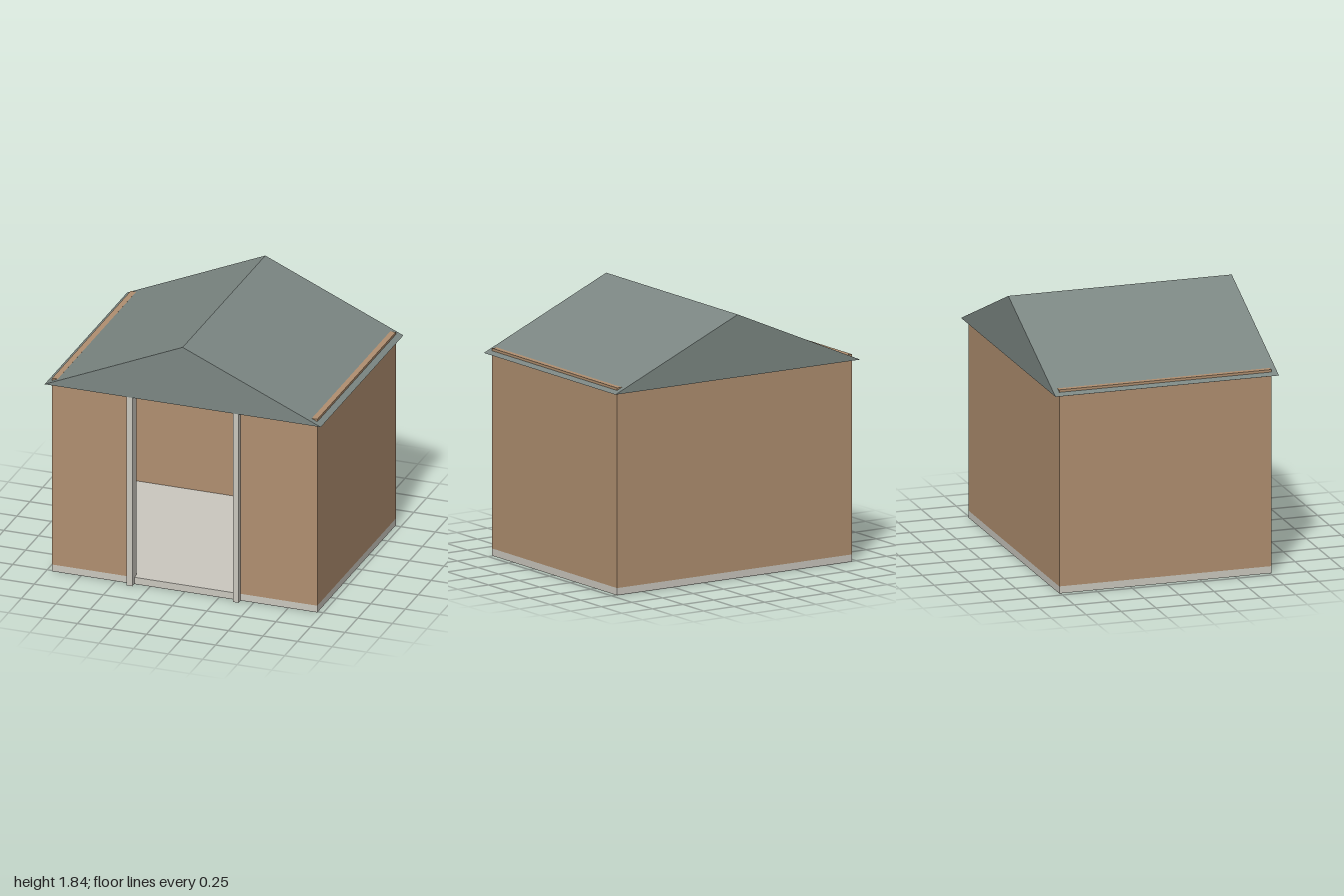
import * as THREE from 'three';

const makeMaterial = (name, color) => {
  const m = new THREE.MeshStandardMaterial({ color });
  m.name = name;
  return m;
};

export function createModel() {
  const wood = makeMaterial('tan wall', 0xb08f70);
  const stone = makeMaterial('pale grey trim', 0xcbc8bf);
  const slate = makeMaterial('grey green roof', 0x7c8783);

  const shed = new THREE.Group();
  shed.name = 'shed';

  // Box given by its lower and upper corners
  const box = (name, material, [x0, y0, z0], [x1, y1, z1]) => {
    const mesh = new THREE.Mesh(new THREE.BoxGeometry(x1 - x0, y1 - y0, z1 - z0), material);
    mesh.position.set((x0 + x1) / 2, (y0 + y1) / 2, (z0 + z1) / 2);
    mesh.name = name;
    shed.add(mesh);
  };

  const X = 0.96, Z = 0.76, T = 0.04; // outer half sizes and wall thickness
  const base = 0.05, top = 1.44, eaves = 1.405, door = 0.405;

  // Floor slab and back wall
  box('floor', stone, [-X, 0, -Z], [X, base, Z]);
  box('backWall', wood, [-X + T, base, -Z], [X - T, top, -Z + T]);

  // Side walls, front panels and door posts, mirrored
  for (const [side, s] of [['left', 1], ['right', -1]]) {
    const span = (a, b) => (s > 0 ? [a, b] : [-b, -a]);
    const pair = (name, material, [a, b], y0, y1, z0, z1) => {
      const [x0, x1] = span(a, b);
      box(side + name, material, [x0, y0, z0], [x1, y1, z1]);
    };
    pair('SideWall', wood, [X - T, X], base, top, -Z, Z);
    pair('FrontWall', wood, [door, X - T], base, top, Z - T, Z);
    pair('DoorPost', stone, [door - T, door], base, eaves, Z - T, Z + T);
    pair('PostFoot', stone, [door - T, door], 0, base, Z, Z + T);
  }

  // Gabled roof, a solid prism running front to back
  const gable = new THREE.Shape([
    new THREE.Vector2(-1, eaves),
    new THREE.Vector2(1, eaves),
    new THREE.Vector2(0, 1.84),
  ]);
  const roofGeometry = new THREE.ExtrudeGeometry(gable, { depth: 1.6, bevelEnabled: false });
  roofGeometry.translate(0, 0, -0.8);
  const roof = new THREE.Mesh(roofGeometry, slate);
  roof.name = 'roof';
  shed.add(roof);

  return shed;
}
